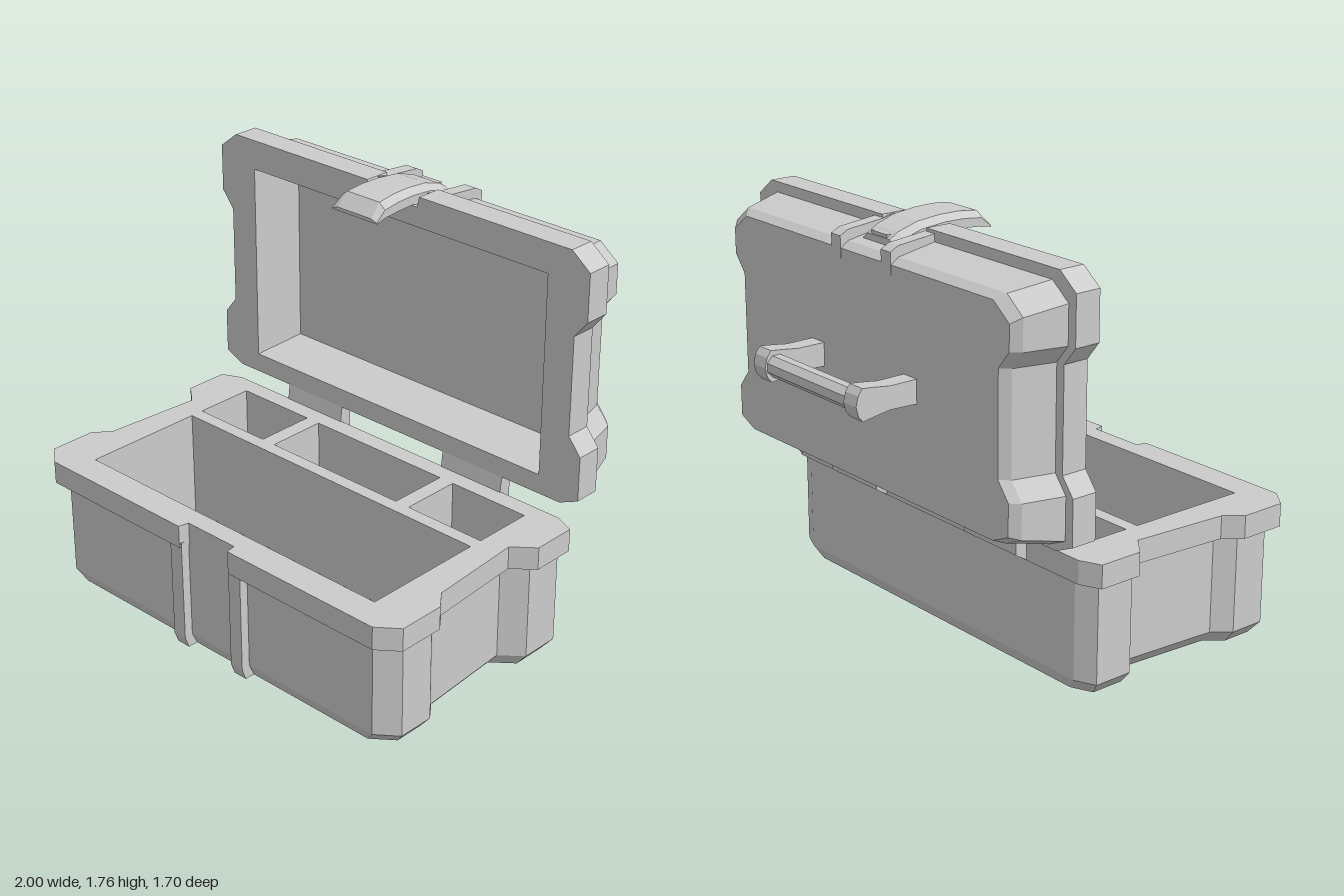
import * as THREE from 'three';

const V3 = (x, y, z) => new THREE.Vector3(x, y, z);
const material = new THREE.MeshStandardMaterial({ color: 0xcccccc, flatShading: true });

function add(parent, name, geometry) {
  const mesh = new THREE.Mesh(geometry, material);
  mesh.name = name;
  parent.add(mesh);
  return mesh;
}

// Skin counter-clockwise rings running along z, with optional end caps
function loft(rings, capStart = true, capEnd = true) {
  const pos = [];
  const tri = (...pts) => pts.forEach((p) => pos.push(p.x, p.y, p.z));
  for (let i = 0; i < rings.length - 1; i++) {
    const a = rings[i], b = rings[i + 1];
    for (let j = 0; j < a.length; j++) {
      const k = (j + 1) % a.length;
      tri(a[j], a[k], b[k]);
      tri(a[j], b[k], b[j]);
    }
  }
  const cap = (ring, flip) => {
    const flat = ring.map((p) => new THREE.Vector2(p.x, p.y));
    for (const [a, b, c] of THREE.ShapeUtils.triangulateShape(flat, [])) {
      if (flip) tri(ring[a], ring[c], ring[b]);
      else tri(ring[a], ring[b], ring[c]);
    }
  };
  if (capStart) cap(rings[0], true);
  if (capEnd) cap(rings[rings.length - 1], false);
  const g = new THREE.BufferGeometry();
  g.setAttribute('position', new THREE.Float32BufferAttribute(pos, 3));
  g.computeVertexNormals();
  return g;
}

// Extrude a [z, y] profile from x0 to x1
function slab(profile, x0, x1) {
  const shape = new THREE.Shape(profile.map(([z, y]) => new THREE.Vector2(z, y)));
  const g = new THREE.ExtrudeGeometry(shape, { depth: x1 - x0, bevelEnabled: false });
  return g.rotateY(-Math.PI / 2).translate(x1, 0, 0);
}

// Waisted outline with chamfered corners and a latch notch; v runs from hinge to latch side
function outline(z, toY, waist, { side = 0, hinge = 0, latch = 0 } = {}) {
  const end = 1.09 - latch;
  const half = [
    [0.91 - side, hinge], [1 - side, 0.04 + hinge], [1 - side, 0.235], [waist - side, 0.31],
    [0.94 - side, 0.74], [1 - side, 0.815], [1 - side, end - 0.07], [0.91 - side, end],
    [0.14, end], [0.13, Math.min(end, 1.045)],
  ];
  const ring = [...half, ...half.map(([x, v]) => [-x, v]).reverse()].map(([x, v]) => V3(x, toY(v), z));
  return THREE.ShapeUtils.isClockWise(ring) ? ring.reverse() : ring;
}

const rect = (x0, x1, y0, y1, z) => [V3(x0, y0, z), V3(x1, y0, z), V3(x1, y1, z), V3(x0, y1, z)];

// Hollow half of the box: outer shell, pierced open face, recessed pockets
function shell(parent, name, rings, pockets) {
  add(parent, name + 'Shell', loft(rings, true, false));
  const top = rings[rings.length - 1];
  const face = new THREE.Shape(top.map((p) => new THREE.Vector2(p.x, p.y)));
  for (const [x0, x1, y0, y1, depth, taper] of pockets) {
    const mouth = rect(x0, x1, y0, y1, top[0].z);
    face.holes.push(new THREE.Path(mouth.map((p) => new THREE.Vector2(p.x, p.y))));
    const floor = rect(x0 + taper, x1 - taper, y0 + taper, y1 - taper, top[0].z - depth);
    add(parent, name + 'Compartment', loft([mouth, floor], false, true));
  }
  add(parent, name + 'RimFace', new THREE.ShapeGeometry(face).translate(0, 0, top[0].z));
}

export function createModel() {
  const model = new THREE.Group();
  model.name = 'toolbox';

  // Base, built lying on its back and turned upright
  const base = new THREE.Group();
  base.name = 'base';
  base.rotation.x = -Math.PI / 2;
  model.add(base);
  const baseY = (v) => 0.24 - v;
  const body = { side: 0.04, hinge: 0.02, latch: 0.045 };
  shell(base, 'base', [
    outline(0, baseY, 0.91, { side: 0.085, hinge: 0.045, latch: 0.07 }),
    outline(0.055, baseY, 0.91, body),
    outline(0.48, baseY, 0.91, body),
    outline(0.48, baseY, 0.91),
    outline(0.58, baseY, 0.91),
  ], [
    [-0.8, 0.8, -0.72, -0.17, 0.48, 0],
    [-0.8, -0.42, -0.11, 0.16, 0.24, 0],
    [-0.35, 0.35, -0.11, 0.16, 0.24, 0],
    [0.42, 0.8, -0.11, 0.16, 0.24, 0],
  ]);

  // Open lid, standing behind the base
  const lid = new THREE.Group();
  lid.name = 'lid';
  model.add(lid);
  const lidY = (v) => 0.65 + v;
  shell(lid, 'lid', [
    outline(-0.565, lidY, 0.94, { side: 0.12, hinge: 0.06, latch: 0.1 }),
    outline(-0.53, lidY, 0.94, { side: 0.085, hinge: 0.05, latch: 0.075 }),
    outline(-0.355, lidY, 0.94, { side: 0.04, hinge: 0.015, latch: 0.045 }),
    outline(-0.355, lidY, 0.94),
    outline(-0.24, lidY, 0.94),
  ], [[-0.8, 0.8, 0.735, 1.61, 0.24, 0.025]]);

  for (const s of [-1, 1]) {
    const span = (a, b) => (s > 0 ? [a, b] : [-b, -a]);

    // Ridges either side of the latch channel
    add(model, 'baseRidge', slab([[0.76, 0], [0.825, 0], [0.844, 0.05], [0.844, 0.5], [0.76, 0.5]], ...span(0.135, 0.2)));
    add(lid, 'lidRidge', slab([[-0.3, 1.6], [-0.3, 1.739], [-0.355, 1.727], [-0.53, 1.71], [-0.568, 1.69], [-0.568, 1.6]],
      ...span(0.13, 0.19)));

    // Hinges
    add(model, 'hinge', slab([[-0.23, 0.48], [-0.245, 0.485], [-0.294, 0.515], [-0.294, 0.62], [-0.313, 0.635],
      [-0.313, 0.66], [-0.245, 0.66], [-0.235, 0.58]], ...span(0.29, 0.61)));

    // Handle posts with a rounded, flared end
    add(lid, 'handlePost', slab([[-0.56, 1.125], [-0.56, 1.225], [-0.69, 1.225], [-0.76, 1.235], [-0.82, 1.242],
      [-0.84, 1.215], [-0.85, 1.175], [-0.84, 1.135], [-0.82, 1.11], [-0.76, 1.12], [-0.69, 1.13]], ...span(0.26, 0.34)));
  }

  // Handle grip
  const grip = new THREE.CylinderGeometry(0.048, 0.048, 0.54, 8).rotateY(Math.PI / 8).rotateZ(Math.PI / 2);
  add(lid, 'handleGrip', grip.translate(0, 1.175, -0.795));

  // Curved latch: stations of z, underside, top, half width
  const stations = [
    [-0.48, 1.66, 1.7, 0.1], [-0.44, 1.66, 1.725, 0.102], [-0.35, 1.67, 1.753, 0.106], [-0.24, 1.7, 1.764, 0.11],
    [-0.15, 1.7, 1.764, 0.114], [-0.065, 1.695, 1.755, 0.118], [-0.015, 1.685, 1.7, 0.12],
  ];
  add(lid, 'latch', loft(stations.map(([z, b, t, w]) => {
    const shoulder = Math.max(b + 0.005, t - 0.025);
    return [V3(-w, b, z), V3(w, b, z), V3(w, shoulder, z), V3(w - 0.03, t, z), V3(0.03 - w, t, z), V3(-w, shoulder, z)];
  })));
  add(lid, 'latchPin', new THREE.BoxGeometry(0.1, 0.04, 0.03).translate(0, 1.695, -0.462));

  return model;
}
